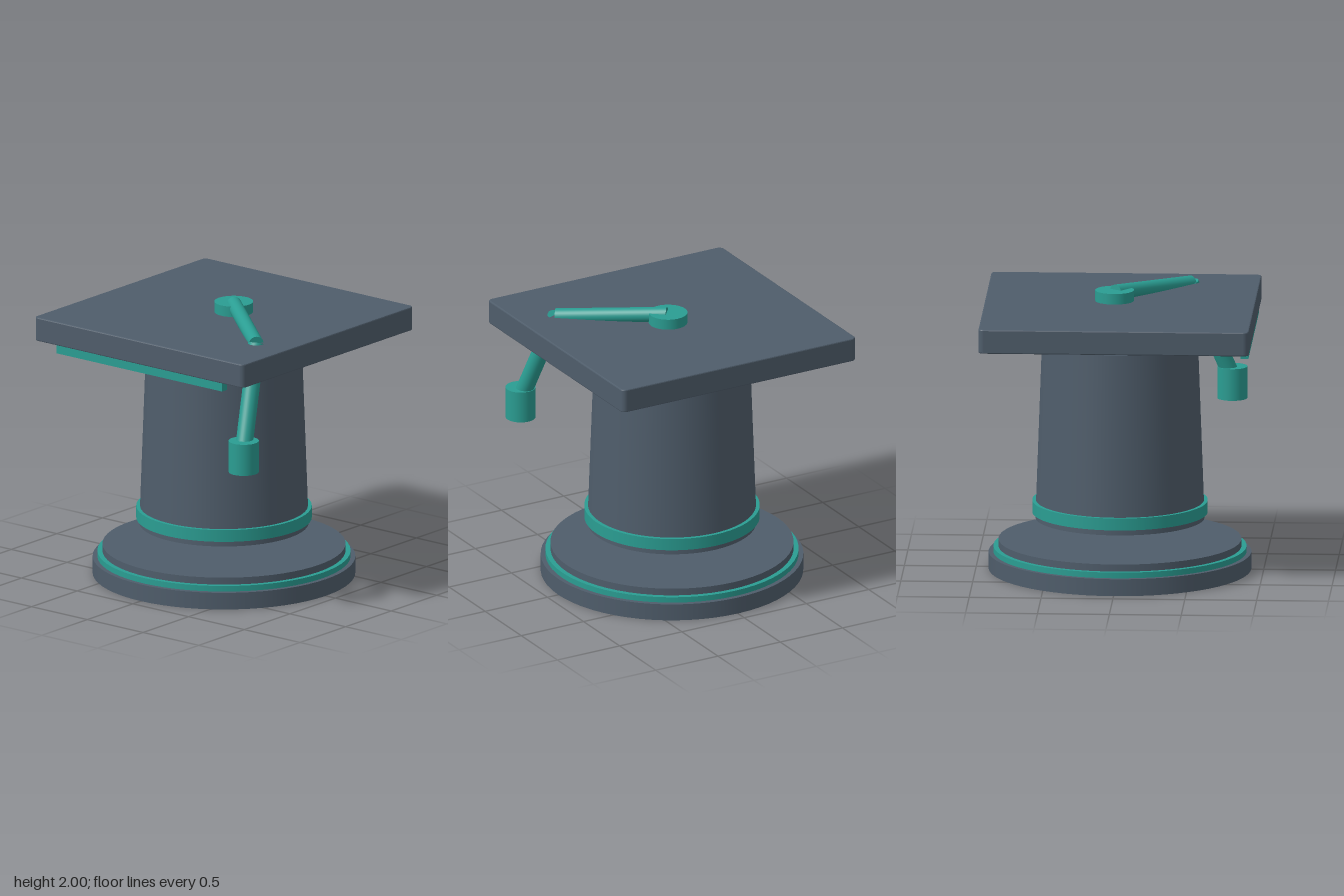
import * as THREE from 'three';

export function createModel() {
  const model = new THREE.Group();
  const slate = new THREE.MeshStandardMaterial({ name: 'slate', color: 0x4f5d6b });
  const teal = new THREE.MeshStandardMaterial({ name: 'teal', color: 0x2a9d92 });

  const add = (name, geometry, material, x = 0, y = 0, z = 0) => {
    const mesh = new THREE.Mesh(geometry, material);
    mesh.name = name;
    mesh.position.set(x, y, z);
    model.add(mesh);
    return mesh;
  };

  // Upright round part between two heights
  const disc = (name, material, y0, y1, rBottom, rTop = rBottom, x = 0, z = 0) =>
    add(name, new THREE.CylinderGeometry(rTop, rBottom, y1 - y0, 64), material, x, (y0 + y1) / 2, z);

  // Straight cord between two points
  const rod = (name, material, from, to, radius) => {
    const a = new THREE.Vector3(...from), b = new THREE.Vector3(...to);
    const dir = b.clone().sub(a);
    const mesh = add(name, new THREE.CylinderGeometry(radius, radius, dir.length(), 32), material);
    mesh.position.copy(a).add(b).multiplyScalar(0.5);
    mesh.quaternion.setFromUnitVectors(new THREE.Vector3(0, 1, 0), dir.normalize());
  };

  // Stepped round base
  disc('baseFoot', slate, 0, 0.12, 0.913);
  disc('baseTrim', teal, 0.12, 0.16, 0.88);
  disc('baseTop', slate, 0.16, 0.21, 0.845);

  // Tapered crown with its band
  disc('crown', slate, 0.36, 1.63, 0.588, 0.542);
  disc('crownBand', teal, 0.4, 0.485, 0.61);

  // Square board with rounded corners and a fine edge bevel
  const bevel = 0.008, h = 0.94 - bevel, r = 0.03;
  const outline = new THREE.Shape();
  [[1, 1, 0], [-1, 1, 1], [-1, -1, 2], [1, -1, 3]].forEach(([sx, sy, q]) =>
    outline.absarc(sx * (h - r), sy * (h - r), r, q * Math.PI / 2, (q + 1) * Math.PI / 2, false));
  const board = new THREE.ExtrudeGeometry(outline, {
    depth: 0.17 - 2 * bevel, bevelEnabled: true, bevelSize: bevel,
    bevelThickness: bevel, bevelSegments: 2, curveSegments: 6,
  });
  board.rotateX(-Math.PI / 2);
  add('board', board, slate, 0, 1.72 + bevel, 0);

  // Strip under the front edge of the board
  add('frontStrip', new THREE.BoxGeometry(1.485, 0.06, 0.055), teal, 0, 1.69, 0.902);

  // Button, cord and tassel
  disc('button', teal, 1.89, 1.965, 0.135, 0.135, 0.055, -0.04);
  rod('topCord', teal, [0.06, 1.949, -0.035], [0.665, 1.885, 0.46], 0.052);
  rod('hangingCord', teal, [0.665, 1.885, 0.457], [0.785, 1.17, 0.752], 0.06);
  disc('tassel', teal, 1.045, 1.27, 0.105, 0.105, 0.785, 0.743);

  return model;
}
